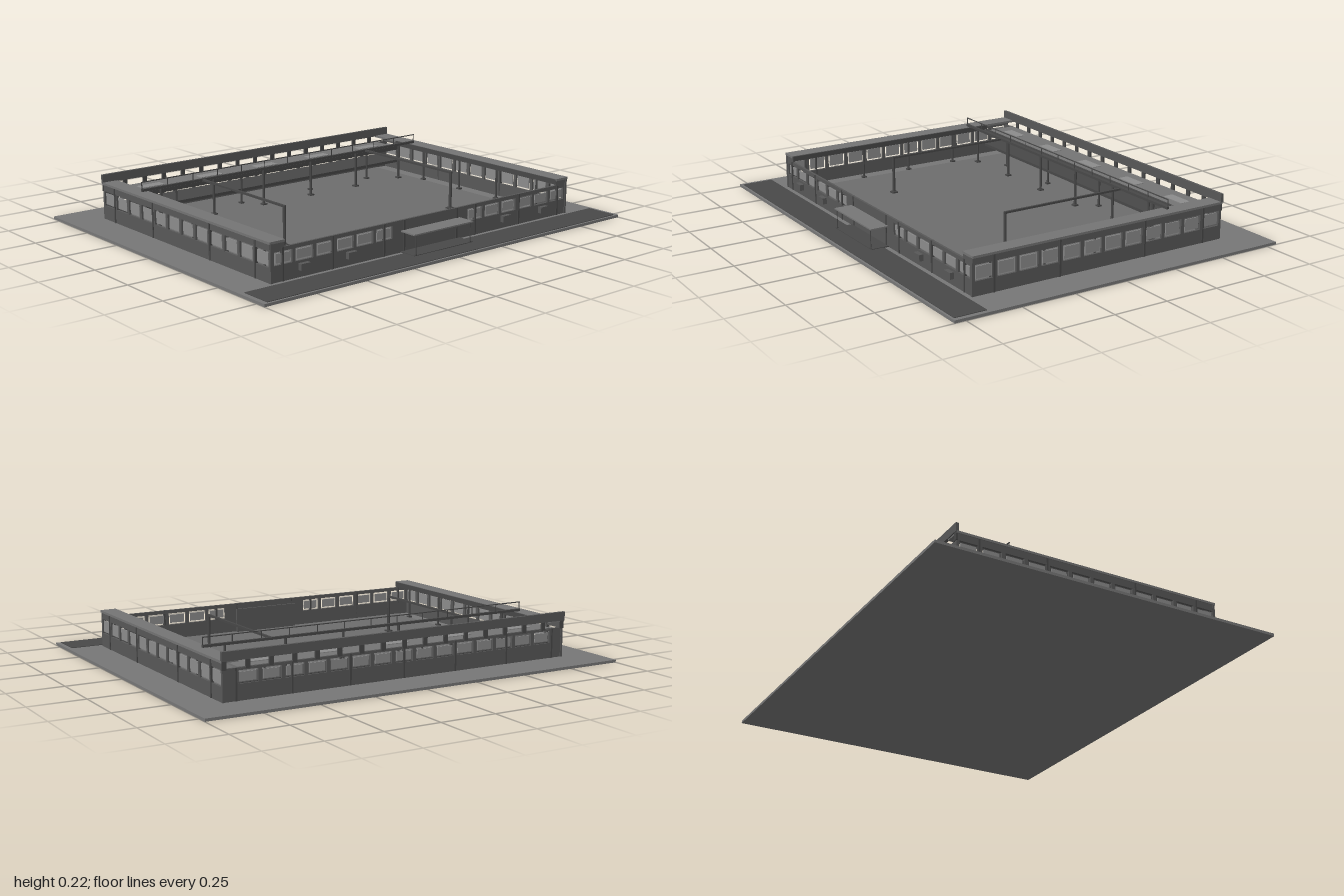
import * as THREE from 'three';

const paint = color => new THREE.MeshStandardMaterial({ color });
const slab = paint(0x777777);
const roof = paint(0x747474);
const court = paint(0x6d6d6d);
const masonry = paint(0x585858);
const trim = paint(0x484848);
const paving = paint(0x494949);
const glass = paint(0x8c8c8c);
const FLOOR = 0.012;

// Box given by its extents along each axis
function box(parent, name, [x0, x1], [y0, y1], [z0, z1], mat) {
  const m = new THREE.Mesh(new THREE.BoxGeometry(x1 - x0, y1 - y0, z1 - z0), mat);
  m.position.set((x0 + x1) / 2, (y0 + y1) / 2, (z0 + z1) / 2);
  m.name = name;
  parent.add(m);
}

// Round post with a square foot
function post(parent, name, x, z, top, r = 0.005) {
  const m = new THREE.Mesh(new THREE.CylinderGeometry(r, r, top - FLOOR, 8), trim);
  m.position.set(x, (top + FLOOR) / 2, z);
  m.name = name;
  parent.add(m);
  box(parent, name + 'Foot', [x - r * 2, x + r * 2], [FLOOR, FLOOR + 0.008], [z - r * 2, z + r * 2], trim);
}

// Wall facing +z with a row of openings, a loose pane in each, and pilasters
function wall(name, length, top, count, sill, head, pilasters, isSolid = () => false) {
  const g = new THREE.Group();
  g.name = name;
  const h = length / 2, t = 0.01, pitch = 0.1036;
  const rect = (P, x0, x1, y0, y1) => {
    const p = new P();
    p.moveTo(x0, y0); p.lineTo(x1, y0); p.lineTo(x1, y1); p.lineTo(x0, y1); p.closePath();
    return p;
  };
  const shape = rect(THREE.Shape, -h, h, FLOOR, top);
  for (let i = 0; i < count; i++) {
    const x = (i - (count - 1) / 2) * pitch;
    if (isSolid(x)) continue;
    shape.holes.push(rect(THREE.Path, x - 0.044, x + 0.044, sill, head));
    box(g, 'windowPane', [x - 0.036, x + 0.036], [sill + 0.008, head - 0.008], [-0.007, -0.003], glass);
  }
  const panel = new THREE.Mesh(new THREE.ExtrudeGeometry(shape, { depth: t, bevelEnabled: false }), masonry);
  panel.position.z = -t;
  panel.name = 'wallPanel';
  g.add(panel);
  for (const x of pilasters) box(g, 'pilaster', [x - 0.004, x + 0.004], [FLOOR, top], [-t, 0.003], trim);
  return g;
}

export function createModel() {
  const g = new THREE.Group();
  g.name = 'courtyardBuilding';

  // Ground plate, courtyard floor and front paving
  box(g, 'groundPlate', [-1, 1], [0, FLOOR], [-0.8, 0.8], slab);
  box(g, 'courtyardFloor', [-0.77, 0.77], [FLOOR, 0.0135], [-0.62, 0.615], court);
  box(g, 'frontPaving', [-0.98, 0.98], [FLOOR, 0.0145], [0.645, 0.79], paving);

  // Outer walls
  for (const s of [-1, 1]) {
    const side = wall('sideWall', 1.25, 0.172, 12, 0.074, 0.141, [-0.525, -0.213, 0.213, 0.525]);
    side.position.x = s * 0.84;
    side.rotation.y = s * Math.PI / 2;
    g.add(side);
  }
  const piers = [-0.78, -0.53, -0.26, 0.26, 0.53, 0.78];
  const front = wall('frontWall', 1.68, 0.15, 16, 0.08, 0.134, [...piers, -0.15, 0.15], x => Math.abs(x) < 0.16);
  front.position.z = 0.622;
  const back = wall('backWall', 1.68, 0.145, 15, 0.08, 0.134, [...piers, 0]);
  back.position.z = -0.622;
  back.rotation.y = Math.PI;
  g.add(front, back);

  // Side wing roofs with a thin fascia on the courtyard edge and posts
  for (const s of [-1, 1]) {
    const span = (a, b) => (s > 0 ? [a, b] : [-b, -a]);
    box(g, 'sideRoof', span(0.77, 0.845), [0.17, 0.18], [-0.625, 0.625], roof);
    box(g, 'sideRoofFascia', span(0.766, 0.774), [0.155, 0.178], [-0.46, 0.62], trim);
    box(g, 'sideRoofEndPanel', span(0.77, 0.842), [0.15, 0.172], [0.612, 0.622], masonry);
    for (const z of [0.5, 0.245, -0.005, -0.26]) post(g, 'sideRoofPost', s * 0.775, z, 0.17);
  }

  // Rear covered stand: roof, edge beam, skylights, counter
  box(g, 'rearRoof', [-0.77, 0.77], [0.14, 0.148], [-0.622, -0.45], roof);
  for (const z of [-0.462, -0.443])
    box(g, 'rearRoofBeam', [-0.77, 0.77], [0.138, 0.156], [z - 0.004, z + 0.004], trim);
  box(g, 'rearRoofGutter', [-0.77, 0.77], [0.14, 0.15], [-0.458, -0.447], roof);
  box(g, 'rearCounter', [-0.77, 0.77], [0.07, 0.083], [-0.615, -0.45], trim);
  for (let i = -2; i <= 2; i++) {
    const x = i * 0.32;
    box(g, 'skylight', [x - 0.06, x + 0.06], [0.147, 0.151], [-0.57, -0.522], glass);
  }
  for (const x of [-0.565, -0.205, 0.205, 0.565]) post(g, 'rearRoofPost', x, -0.452, 0.14);

  // Raised rear fascia on short posts
  box(g, 'rearFascia', [-0.845, 0.845], [0.176, 0.215], [-0.63, -0.617], masonry);
  for (let i = 0; i <= 16; i++) {
    const x = -0.832 + i * 0.104;
    box(g, 'fasciaPost', [x - 0.01, x + 0.01], [0.14, 0.18], [-0.627, -0.619], trim);
  }

  // Gantry across the courtyard with a thin rail above
  box(g, 'gantryBeam', [-0.8, 0.8], [0.18, 0.191], [-0.37, -0.358], trim);
  box(g, 'gantryRail', [-0.8, 0.8], [0.22, 0.224], [-0.366, -0.362], trim);
  for (const x of [-0.7, -0.42, -0.14, 0.14, 0.42, 0.7]) post(g, 'gantryPost', x, -0.365, 0.182, 0.006);
  for (let i = 0; i <= 12; i++) {
    const x = -0.798 + i * 0.133;
    box(g, 'railStanchion', [x - 0.002, x + 0.002], [0.19, 0.222], [-0.365, -0.363], trim);
  }

  // Two long beams running forward from the gantry
  for (const x of [-0.48, 0.48]) {
    box(g, 'courtyardBeam', [x - 0.005, x + 0.005], [0.18, 0.189], [-0.36, 0.245], trim);
    post(g, 'beamPost', x, 0.24, 0.188, 0.007);
  }

  // Entrance: canopy, posts, step and inner screen
  box(g, 'entranceCanopy', [-0.168, 0.168], [0.1, 0.106], [0.62, 0.705], slab);
  box(g, 'entranceStep', [-0.168, 0.168], [FLOOR, 0.017], [0.62, 0.705], paving);
  box(g, 'entranceScreen', [-0.16, 0.16], [FLOOR, 0.125], [0.594, 0.604], masonry);
  for (const x of [-0.155, 0.155]) post(g, 'canopyPost', x, 0.7, 0.102, 0.002);

  // Wall boxes on the front
  for (const x of [-0.68, -0.44, 0.44, 0.68])
    box(g, 'wallBox', [x - 0.023, x + 0.023], [0.042, 0.07], [0.62, 0.642], masonry);

  return g;
}
